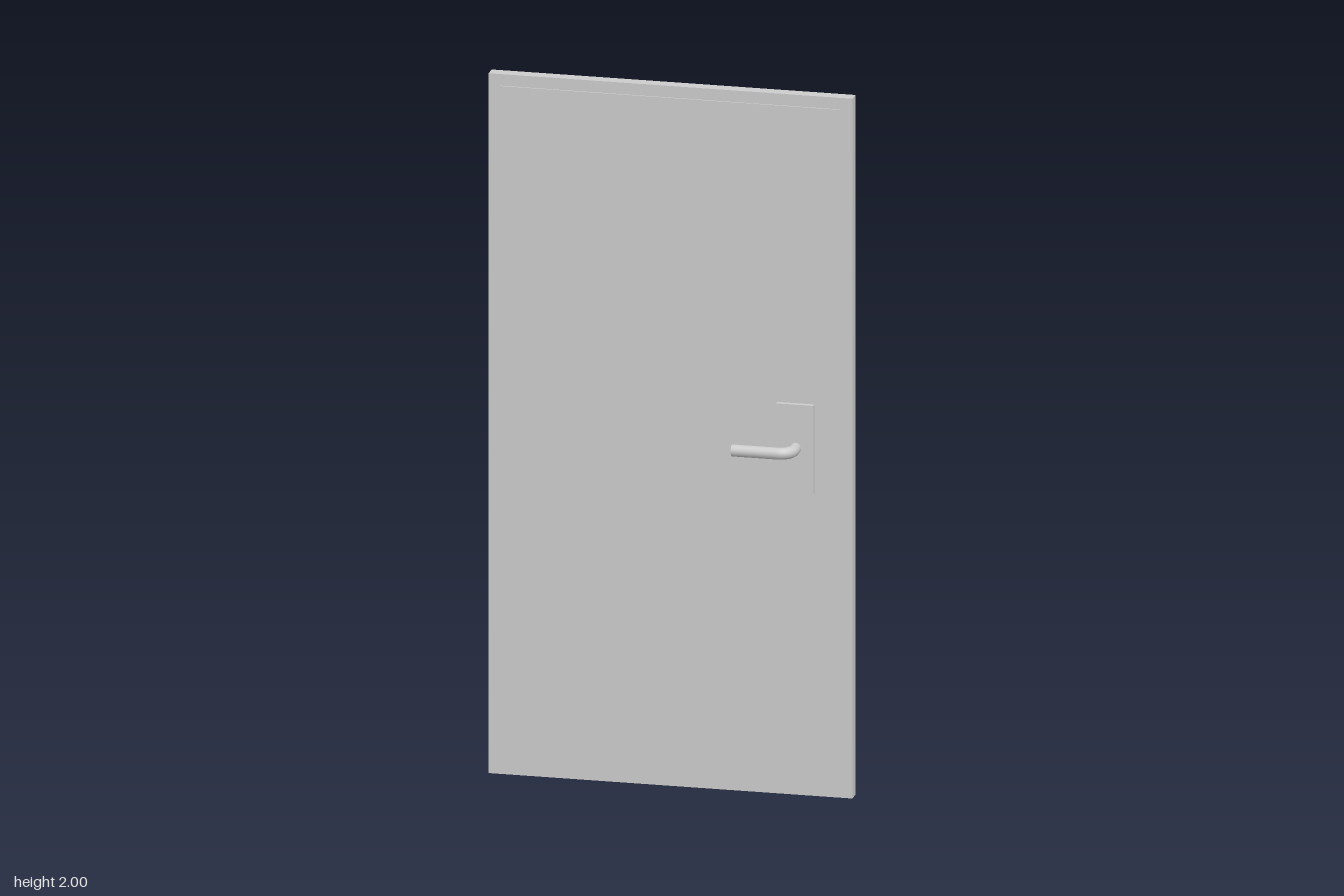
import * as THREE from 'three';

const material = new THREE.MeshStandardMaterial({ color: 0xcccccc });

// Box given by its minimum and maximum corners
function box(name, min, max) {
  const size = max.map((v, i) => v - min[i]);
  const mesh = new THREE.Mesh(new THREE.BoxGeometry(...size), material);
  mesh.position.set(...max.map((v, i) => (v + min[i]) / 2));
  mesh.name = name;
  return mesh;
}

// Bent lever: stem out of the plate, rounded elbow, straight grip
function createHandle() {
  const r = 0.0165, bend = 0.036, y = 0.995;
  const stemX = 0.354, gripZ = 0.046, endX = 0.19, startZ = -0.018;
  const p = (x, z) => new THREE.Vector3(x, y, z);

  const path = new THREE.CurvePath();
  path.add(new THREE.LineCurve3(p(stemX, startZ), p(stemX, gripZ - bend)));
  const k = bend * 0.448; // control offset for a quarter circle
  path.add(new THREE.CubicBezierCurve3(
    p(stemX, gripZ - bend), p(stemX, gripZ - k),
    p(stemX - k, gripZ), p(stemX - bend, gripZ)));
  path.add(new THREE.LineCurve3(p(stemX - bend, gripZ), p(endX, gripZ)));

  const handle = new THREE.Group();
  handle.name = 'handle';
  const lever = new THREE.Mesh(new THREE.TubeGeometry(path, 48, r, 16), material);
  lever.name = 'lever';

  // Flat cap closing the free end
  const cap = new THREE.Mesh(new THREE.CircleGeometry(r, 16), material);
  cap.name = 'leverEnd';
  cap.rotation.y = -Math.PI / 2;
  cap.position.copy(p(endX, gripZ));
  handle.add(lever, cap);
  return handle;
}

export function createModel() {
  const door = new THREE.Group();
  door.name = 'door';
  door.add(
    box('doorSlab', [-0.51, 0, -0.065], [0.51, 2, -0.029]),
    box('raisedPanel', [-0.478, 0.035, -0.035], [0.476, 1.967, -0.025]),
    box('handlePlate', [0.3, 0.868, -0.03], [0.405, 1.12, -0.011]),
    createHandle());
  return door;
}
